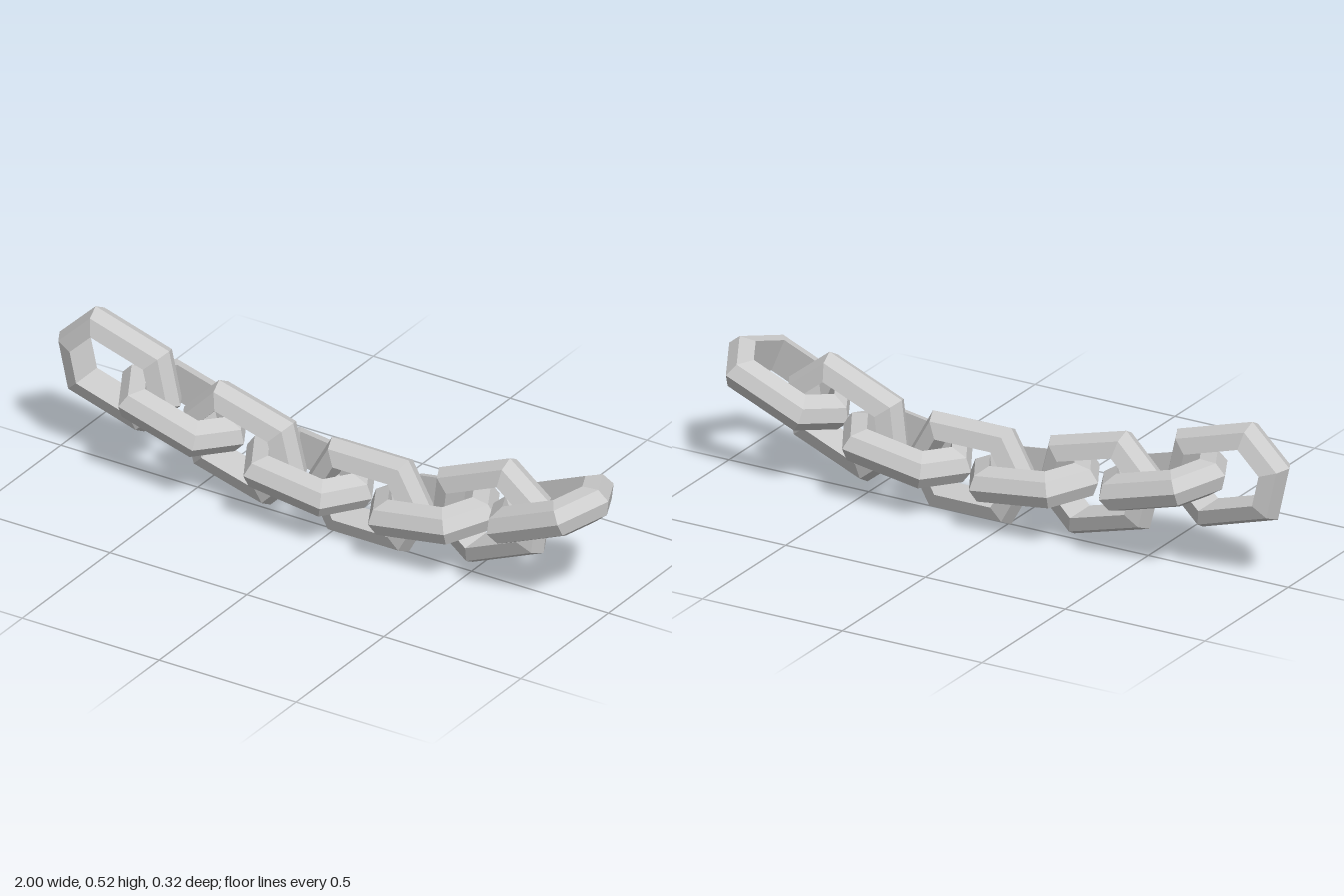
import * as THREE from 'three';

// Sweeps a D-shaped section (faceted outside, flat inside) round a hexagon, with mitred corners
function linkGeometry() {
  const outline = [[0.23, 0], [0.14, 0.16], [-0.14, 0.16], [-0.23, 0], [-0.14, -0.16], [0.14, -0.16]]
    .map(([x, y]) => new THREE.Vector2(x, y));
  // Section corners: inward offset from the outline, and z
  const section = [[0, 0], [0.02, 0.042], [0.068, 0.06], [0.068, -0.06], [0.02, -0.042]];
  const n = outline.length, m = section.length;
  const edgeNormal = (a, b) => new THREE.Vector2(b.y - a.y, a.x - b.x).normalize();

  const positions = [], indices = [];
  outline.forEach((p, i) => {
    const n1 = edgeNormal(outline[(i + n - 1) % n], p);
    const n2 = edgeNormal(p, outline[(i + 1) % n]);
    const mitre = n1.clone().add(n2).divideScalar(1 + n1.dot(n2));
    for (const [inset, z] of section) {
      positions.push(p.x - mitre.x * inset, p.y - mitre.y * inset, z);
    }
    for (let j = 0; j < m; j++) {
      const a = i * m + j, d = i * m + (j + 1) % m;
      const b = ((i + 1) % n) * m + j, c = ((i + 1) % n) * m + (j + 1) % m;
      indices.push(a, b, c, a, c, d);
    }
  });

  const indexed = new THREE.BufferGeometry();
  indexed.setAttribute('position', new THREE.Float32BufferAttribute(positions, 3));
  indexed.setIndex(indices);
  const geometry = indexed.toNonIndexed();
  geometry.computeVertexNormals();
  return geometry;
}

export function createModel() {
  const chain = new THREE.Group();
  chain.name = 'chain';
  const material = new THREE.MeshStandardMaterial({ color: 0xcccccc, flatShading: true });
  const geometry = linkGeometry();

  // Link centres and slopes (x, y, degrees) along the sagging chain
  const links = [
    [-0.784, 0.334, -16.5],
    [-0.553, 0.265, -15.5],
    [-0.328, 0.211, -15],
    [-0.092, 0.177, -7],
    [0.13, 0.163, 0],
    [0.362, 0.18, 9],
    [0.572, 0.238, 22.5],
    [0.787, 0.305, 22.5],
  ];
  links.forEach(([x, y, slope], i) => {
    const link = new THREE.Mesh(geometry, material);
    const flat = i % 2 === 1; // every second link lies flat
    link.name = `${flat ? 'flatLink' : 'uprightLink'}${i + 1}`;
    link.position.set(x, y, 0);
    link.rotation.set(flat ? Math.PI / 2 : 0, 0, THREE.MathUtils.degToRad(slope), 'ZYX');
    chain.add(link);
  });
  return chain;
}
